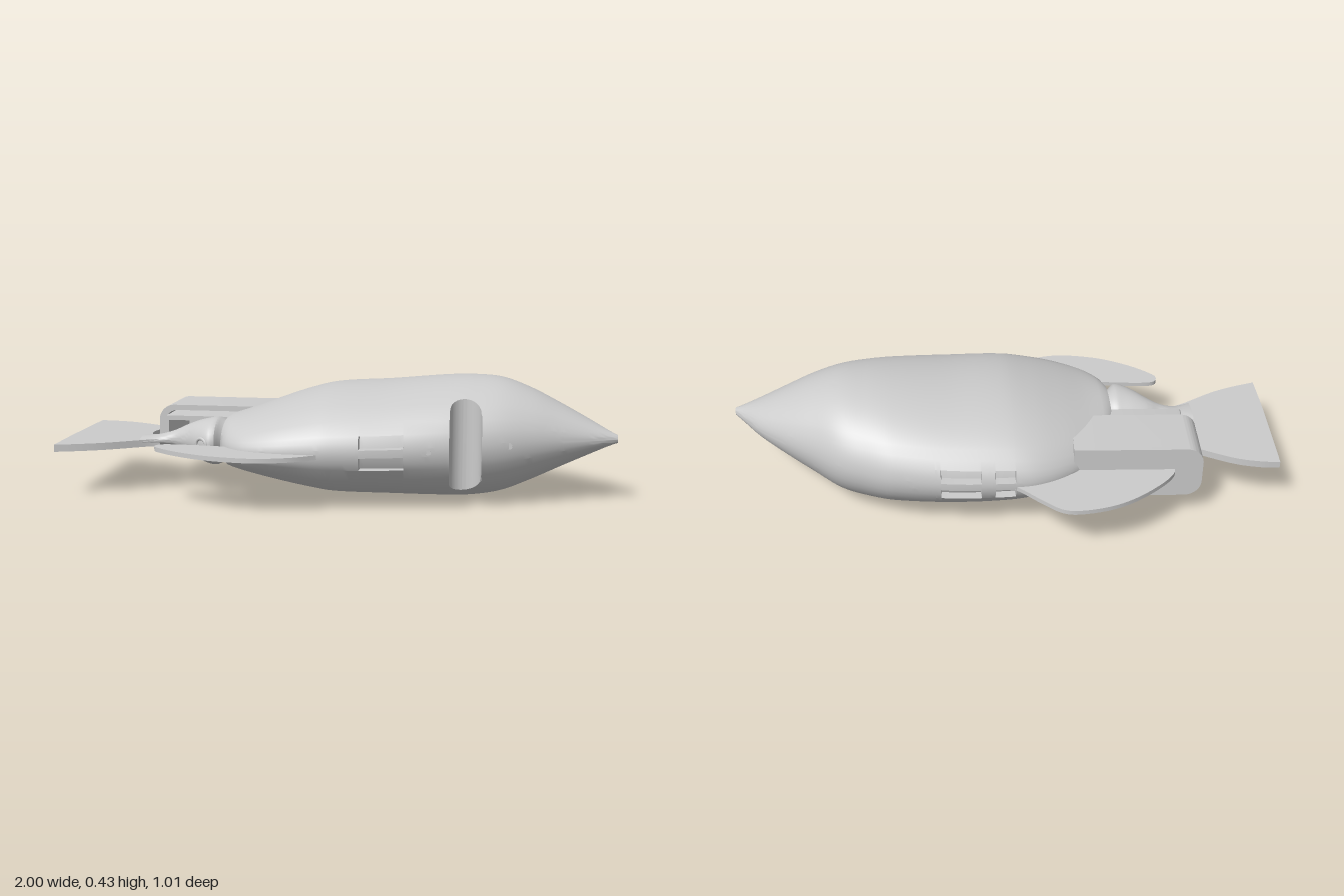
import * as THREE from 'three';
import { toCreasedNormals } from 'three/addons/utils/BufferGeometryUtils.js';

const mat = new THREE.MeshStandardMaterial({ color: 0xcccccc, side: THREE.DoubleSide });

function add(parent, name, geo) {
  const m = new THREE.Mesh(geo, mat);
  m.name = name;
  parent.add(m);
  return m;
}

// Smooth lookup in a station table of [x, yLow, yHigh, zLow, zHigh]
function sample(table, x) {
  let i = 0;
  while (i < table.length - 2 && x > table[i + 1][0]) i++;
  const a = table[i], b = table[i + 1], h = b[0] - a[0], t = (x - a[0]) / h;
  const p = table[Math.max(i - 1, 0)], q = table[Math.min(i + 2, table.length - 1)];
  const v = [1, 2, 3, 4].map((k) => {
    const m0 = (b[k] - p[k]) / (b[0] - p[0]) * h, m1 = (q[k] - a[k]) / (q[0] - a[0]) * h;
    const t2 = t * t, t3 = t2 * t;
    return (2 * t3 - 3 * t2 + 1) * a[k] + (t3 - 2 * t2 + t) * m0 + (3 * t2 - 2 * t3) * b[k] + (t3 - t2) * m1;
  });
  return { cy: (v[0] + v[1]) / 2, ry: (v[1] - v[0]) / 2, cz: (v[2] + v[3]) / 2, rz: (v[3] - v[2]) / 2 };
}

// Skin a list of closed rings running along +x, with flat ends
function loft(rings, crease = 0.5) {
  const n = rings[0].length, pos = [], idx = [];
  rings.forEach((r) => r.forEach((p) => pos.push(...p)));
  for (let i = 0; i < rings.length - 1; i++) {
    for (let j = 0; j < n; j++) {
      const k = (j + 1) % n, a = i * n, b = a + n;
      idx.push(a + j, b + j, a + k, b + j, b + k, a + k);
    }
  }
  [0, rings.length - 1].forEach((i, end) => {
    const c = pos.length / 3, r = rings[i];
    pos.push(...[0, 1, 2].map((k) => r.reduce((s, p) => s + p[k], 0) / n));
    for (let j = 0; j < n; j++) {
      const u = i * n + j, v = i * n + (j + 1) % n;
      idx.push(c, end ? v : u, end ? u : v);
    }
  });
  const g = new THREE.BufferGeometry();
  g.setAttribute('position', new THREE.Float32BufferAttribute(pos, 3));
  g.setIndex(idx);
  return toCreasedNormals(g, crease);
}

const HULL = [
  [-0.4, 0.115, 0.275, -0.07, 0.24], [-0.385, 0.105, 0.285, -0.12, 0.28], [-0.35, 0.097, 0.295, -0.18, 0.33],
  [-0.3, 0.085, 0.31, -0.24, 0.37], [-0.2, 0.058, 0.345, -0.315, 0.405], [-0.1, 0.033, 0.377, -0.357, 0.418],
  [0, 0.015, 0.4, -0.367, 0.422], [0.2, 0.008, 0.413, -0.363, 0.405], [0.4, 0.003, 0.431, -0.333, 0.372],
  [0.5, 0.006, 0.435, -0.297, 0.345], [0.6, 0.024, 0.428, -0.25, 0.312], [0.7, 0.067, 0.395, -0.17, 0.272],
  [0.8, 0.117, 0.347, -0.09, 0.23], [0.9, 0.167, 0.295, 0.0, 0.19], [0.97, 0.203, 0.258, 0.085, 0.162],
  [1, 0.216, 0.244, 0.122, 0.15],
];
// Vertical groove in the front flank, and window spans on each flank
const GROOVE = { x: 0.47, z: 0.3, r: 0.055 };
const FRONT_WINDOWS = [[0.11, 0.26]], BACK_WINDOWS = [[-0.02, 0.05], [0.1, 0.24]];

function hullGeometry() {
  const xs = [];
  for (let i = 0; i <= 80; i++) xs.push(-0.4 + 1.4 * i / 80);
  for (const [a, b] of [...FRONT_WINDOWS, ...BACK_WINDOWS]) xs.push(a - 0.001, a + 0.001, b - 0.001, b + 0.001);
  for (let i = 0; i <= 20; i++) xs.push(GROOVE.x - GROOVE.r * Math.cos(Math.PI * i / 20));
  xs.push(GROOVE.x - GROOVE.r - 0.0005, GROOVE.x + GROOVE.r + 0.0005);
  xs.sort((a, b) => a - b);
  const stations = xs.filter((x, i) => i === 0 || x - xs[i - 1] > 1e-5);

  // Angles over a flank, dense at the window edges
  const flank = (a0) => {
    const half = [0.069, 0.071, 0.185, 0.299, 0.301, (a0 + 0.3) / 2, a0];
    return [...half.map((a) => -a).reverse(), 0, ...half];
  };
  const arc = (a, b) => Array.from({ length: 27 }, (_, i) => a + (b - a) * (i + 1) / 28);
  const inWindow = (list, x, a) => Math.abs(a) > 0.07 && Math.abs(a) < 0.3 && list.some(([p, q]) => x > p && x < q);

  return loft(stations.map((x) => {
    const s = sample(HULL, x), d = GROOVE.r ** 2 - (x - GROOVE.x) ** 2;
    const limit = GROOVE.z - Math.sqrt(Math.max(d, 0));
    const a0 = Math.acos(THREE.MathUtils.clamp((limit - s.cz) / s.rz, 0.5, 0.8));
    const point = (a, cut) => {
      let z = s.cz + s.rz * Math.cos(a);
      if (cut === 1 && d > -1e-9) z = Math.min(z, limit);
      if (cut === 1 && inWindow(FRONT_WINDOWS, x, a)) z -= 0.035;
      if (cut === -1 && inWindow(BACK_WINDOWS, x, a - Math.PI)) z += 0.035;
      return [x, s.cy + s.ry * Math.sin(a), z];
    };
    return [
      ...flank(a0).map((a) => point(a, 1)),
      ...arc(a0, Math.PI - 0.6).map((a) => point(a, 0)),
      ...flank(0.6).map((a) => point(Math.PI + a, -1)),
      ...arc(Math.PI + 0.6, 2 * Math.PI - a0).map((a) => point(a, 0)),
    ];
  }));
}

// Tail stem: wide rounded root, narrow waist, thin end inside the fin
const STEM = [
  [-0.72, 0.17, 0.2, 0.02, 0.15], [-0.66, 0.167, 0.205, 0.04, 0.125], [-0.6, 0.16, 0.222, 0.05, 0.122],
  [-0.55, 0.142, 0.245, 0.028, 0.15], [-0.5, 0.122, 0.265, 0.018, 0.195], [-0.45, 0.108, 0.278, 0.012, 0.23],
  [-0.425, 0.108, 0.28, 0.012, 0.225], [-0.41, 0.115, 0.272, 0.02, 0.2], [-0.38, 0.13, 0.26, 0.04, 0.18],
];
function stemGeometry() {
  const rings = [];
  for (let i = 0; i <= 36; i++) {
    const x = -0.72 + 0.34 * i / 36, s = sample(STEM, x);
    rings.push(Array.from({ length: 40 }, (_, j) => {
      const a = j / 40 * Math.PI * 2;
      return [x, s.cy + s.ry * Math.sin(a), s.cz + s.rz * Math.cos(a)];
    }));
  }
  return loft(rings);
}

// Flat plate from a plan outline in x and z
function plate(points, thickness, y) {
  const g = new THREE.ExtrudeGeometry(new THREE.Shape(points), { depth: thickness, bevelEnabled: false });
  g.rotateX(Math.PI / 2).translate(0, y + thickness / 2, 0);
  return toCreasedNormals(g, 0.5);
}
const smooth = (pts, n = 48) => new THREE.SplineCurve(pts.map(([x, z]) => new THREE.Vector2(x, z))).getPoints(n);

// Rounded rectangle, in the x-y plane
function roundRect(P, x0, y0, x1, y1, r) {
  const p = new P();
  p.moveTo(x1, y0);
  p.lineTo(x1, y1);
  p.lineTo(x0 + r, y1);
  p.absarc(x0 + r, y1 - r, r, Math.PI / 2, Math.PI, false);
  p.absarc(x0 + r, y0 + r, r, Math.PI, Math.PI * 1.5, false);
  p.closePath();
  return p;
}
function slab(shape, z0, z1) {
  const g = new THREE.ExtrudeGeometry(shape, { depth: z1 - z0, bevelEnabled: false, curveSegments: 12 });
  return toCreasedNormals(g.translate(0, 0, z0), 0.5);
}

export function createModel() {
  const root = new THREE.Group();
  root.name = 'fishRobot';
  add(root, 'hull', hullGeometry());

  // Small round ports along the front flank
  for (const x of [0.345, 0.62]) {
    const s = sample(HULL, x);
    const port = add(root, 'sensorPort', new THREE.CylinderGeometry(0.01, 0.01, 0.01, 16).rotateX(Math.PI / 2));
    port.position.set(x, s.cy, s.cz + s.rz - 0.004);
  }

  // Side fins
  const nearFin = [[0.02, 0.39], [-0.04, 0.425], [-0.13, 0.478], [-0.25, 0.502], [-0.4, 0.472], [-0.52, 0.41],
    [-0.6, 0.345], [-0.62, 0.31], [-0.6, 0.28], [-0.53, 0.278], [-0.4, 0.293], [-0.25, 0.33]];
  const farFin = [[0.02, -0.33], [-0.04, -0.38], [-0.1, -0.44], [-0.17, -0.5], [-0.24, -0.511], [-0.35, -0.49],
    [-0.45, -0.44], [-0.55, -0.36], [-0.59, -0.3], [-0.55, -0.28], [-0.4, -0.275], [-0.2, -0.27]];
  add(root, 'leftSideFin', plate(smooth(nearFin), 0.016, 0.197));
  add(root, 'rightSideFin', plate(smooth(farFin), 0.016, 0.197));

  // Tail fin and its stem
  add(root, 'tailStem', stemGeometry());
  const finEdge = [
    ...smooth([[-0.98, -0.26], [-0.91, -0.252], [-0.82, -0.225], [-0.7, -0.16]], 16),
    ...smooth([[-0.695, -0.1], [-0.71, -0.02], [-0.69, 0.035], [-0.65, 0.045]], 12),
    ...smooth([[-0.65, 0.12], [-0.7, 0.14], [-0.82, 0.208], [-0.91, 0.244], [-1, 0.27]], 16),
    ...smooth([[-1, 0.27], [-0.997, 0.1], [-0.988, -0.1], [-0.98, -0.26]], 12),
  ].filter((p, i, l) => i === 0 || (p.distanceTo(l[i - 1]) > 1e-4 && p.distanceTo(l[0]) > 1e-4));
  add(root, 'tailFin', plate(finEdge, 0.026, 0.18));

  // Pivot ring on the stem
  const pivot = add(root, 'tailPivot', new THREE.TorusGeometry(0.025, 0.006, 10, 28));
  pivot.position.set(-0.475, 0.19, 0.212);
  pivot.rotation.y = -0.6;

  // Open housing with an inner bracket, slightly turned
  const housing = new THREE.Group();
  housing.name = 'driveHousing';
  housing.position.set(-0.69, 0, -0.3);
  housing.rotation.y = -0.045;
  const rim = roundRect(THREE.Shape, 0, 0.09, 0.46, 0.29, 0.06);
  rim.holes.push(roundRect(THREE.Path, 0.025, 0.11, 0.45, 0.27, 0.045));
  add(housing, 'housingRim', slab(rim, 0.015, 0.22));
  add(housing, 'housingBack', slab(roundRect(THREE.Shape, 0, 0.09, 0.46, 0.29, 0.06), 0, 0.015));
  const bracket = roundRect(THREE.Shape, 0.045, 0.118, 0.4, 0.262, 0.01);
  bracket.holes.push(roundRect(THREE.Path, 0.06, 0.135, 0.39, 0.245, 0.005));
  add(housing, 'driveBracket', slab(bracket, 0.015, 0.3));
  root.add(housing);

  return root;
}
